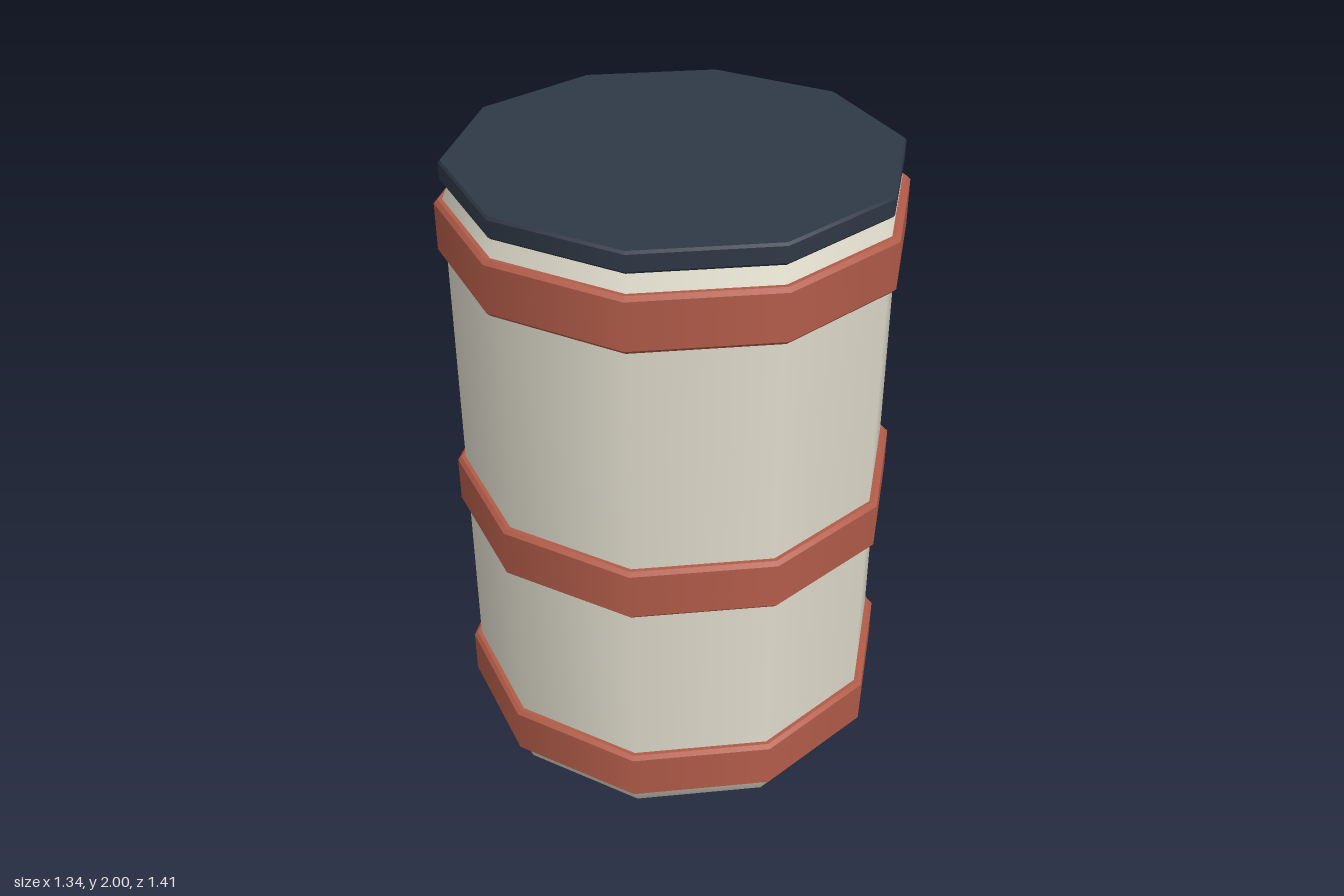
import * as THREE from 'three';

const SIDES = 10;

// Ten-sided turned part; a repeated point makes a sharp edge
function turned(name, points, material) {
  const profile = points.map(([r, y]) => new THREE.Vector2(r, y));
  const mesh = new THREE.Mesh(new THREE.LatheGeometry(profile, SIDES), material);
  mesh.name = name;
  return mesh;
}

export function createModel() {
  const cream = new THREE.MeshStandardMaterial({ color: 0xdedacb });
  cream.name = 'cream';
  const red = new THREE.MeshStandardMaterial({ color: 0xb25c49 });
  red.name = 'brick red';
  const navy = new THREE.MeshStandardMaterial({ color: 0x2f3846 });
  navy.name = 'dark navy';

  const barrel = new THREE.Group();
  barrel.name = 'barrel';

  // Body with softened bottom and top rims
  barrel.add(turned('body', [
    [0, 0], [0.62, 0], [0.62, 0],
    [0.655, 0.02], [0.68, 0.085], [0.68, 0.085],
    [0.68, 1.88], [0.68, 1.88], [0.655, 1.94], [0.655, 1.94], [0, 1.94],
  ], cream));

  // Three raised hoops with small bevels
  const hoopHeight = 0.17, inner = 0.67, outer = 0.705, bevel = 0.012;
  [['lowerHoop', 0.08], ['middleHoop', 0.815], ['upperHoop', 1.71]].forEach(([name, y]) => {
    const top = y + hoopHeight;
    barrel.add(turned(name, [
      [inner, y], [outer - bevel, y], [outer - bevel, y],
      [outer, y + bevel], [outer, y + bevel],
      [outer, top - bevel], [outer, top - bevel],
      [outer - bevel, top], [outer - bevel, top], [inner, top],
    ], red));
  });

  // Flat lid
  barrel.add(turned('lid', [
    [0, 1.935], [0.675, 1.935], [0.675, 1.935],
    [0.683, 1.943], [0.683, 1.943], [0.683, 1.992], [0.683, 1.992],
    [0.677, 2], [0.677, 2], [0, 2],
  ], navy));

  return barrel;
}
